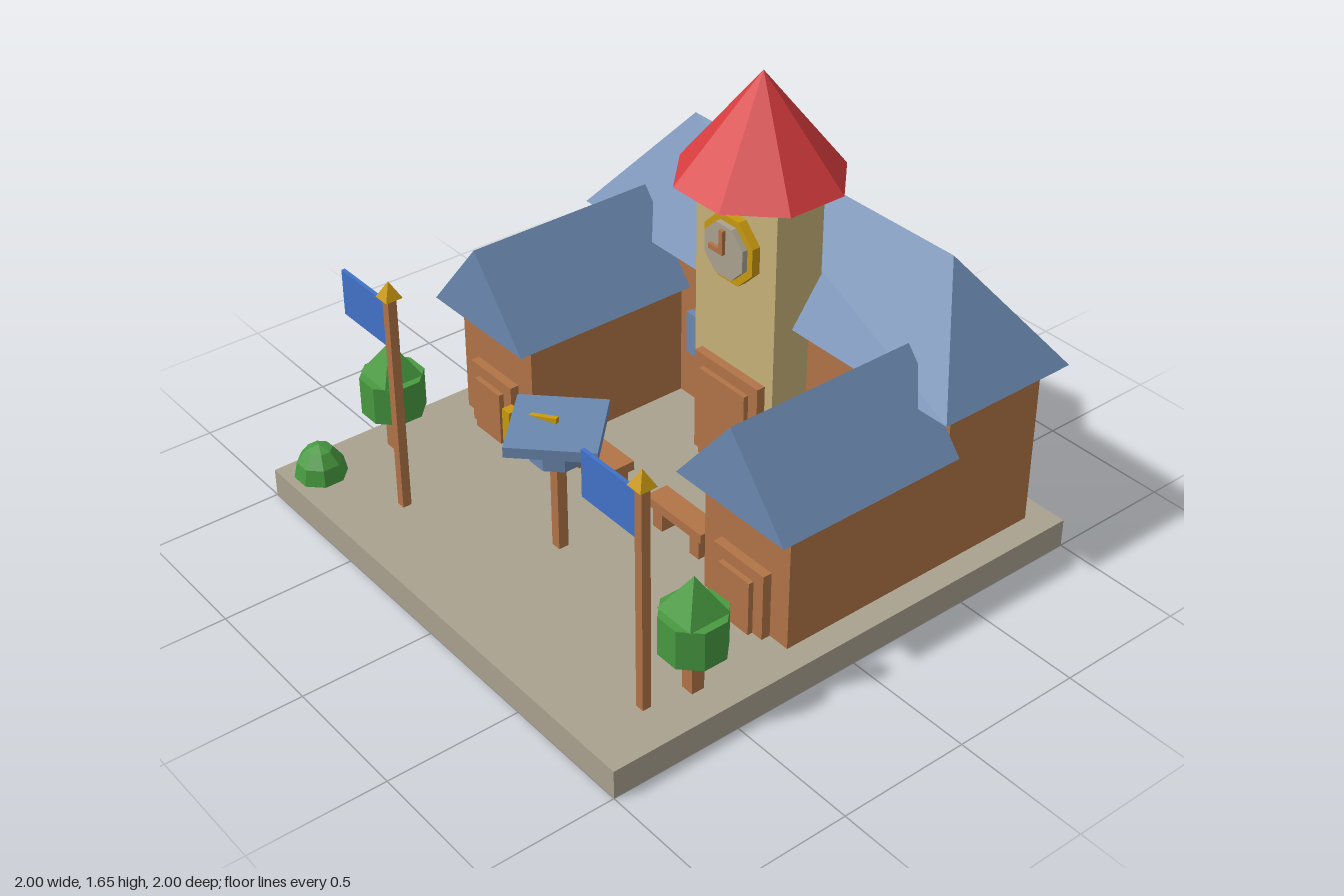
import * as THREE from 'three';
import { ConvexGeometry } from 'three/addons/geometries/ConvexGeometry.js';

const mat = (name, color, extra = {}) => {
  const m = new THREE.MeshStandardMaterial({ color, ...extra });
  m.name = name;
  return m;
};

export function createModel() {
  const stone = mat('stone', 0xaaa28f, { side: THREE.DoubleSide });
  const wood = mat('brick brown', 0xb27447);
  const slate = mat('slate blue', 0x6b88b0);
  const sand = mat('sand', 0xc8b27a);
  const red = mat('red', 0xd83c3e);
  const gold = mat('gold', 0xc8980f);
  const green = mat('green', 0x489a40);
  const flagBlue = mat('flag blue', 0x4172c8);

  const model = new THREE.Group();
  model.name = 'townHall';

  // Helpers
  const add = (name, geo, material, x = 0, y = 0, z = 0, parent = model) => {
    const mesh = new THREE.Mesh(geo, material);
    mesh.name = name;
    mesh.position.set(x, y, z);
    parent.add(mesh);
    return mesh;
  };
  const group = (name, x = 0, z = 0) => {
    const g = new THREE.Group();
    g.name = name;
    g.position.set(x, 0, z);
    model.add(g);
    return g;
  };
  const flat = (geo) => {
    const g = geo.toNonIndexed();
    g.computeVertexNormals();
    return g;
  };
  // box given by its lower and upper limits
  const box = (name, material, x0, x1, y0, y1, z0, z1, parent) =>
    add(name, new THREE.BoxGeometry(x1 - x0, y1 - y0, z1 - z0), material,
      (x0 + x1) / 2, (y0 + y1) / 2, (z0 + z1) / 2, parent);
  // regular prism or frustum with faces square to the axes; sizes are half widths across flats
  const prism = (sides, top, bottom, h) => {
    const k = 1 / Math.cos(Math.PI / sides);
    return flat(new THREE.CylinderGeometry(top * k, bottom * k, h, sides, 1, false, Math.PI / sides));
  };
  // roof from eave half sizes and ridge half lengths
  const roof = (hx, hz, rx, rz, h) => {
    const pts = [];
    for (const a of [-1, 1]) {
      for (const b of [-1, 1]) pts.push(new THREE.Vector3(a * hx, 0, b * hz));
      pts.push(new THREE.Vector3(a * rx, h, a * rz));
    }
    return new ConvexGeometry(pts);
  };
  const door = (name, x, z, w, h) => {
    const g = group(name, x, z);
    box('doorFrame', wood, -w, w, 0.11, h, 0, 0.035, g);
    box('doorPanel', wood, -w + 0.047, w - 0.047, 0.11, h - 0.047, 0.035, 0.055, g);
  };

  // Base slab, open underneath
  const slab = new THREE.BoxGeometry(2, 0.11, 2);
  const idx = Array.from(slab.index.array);
  idx.splice(18, 6);
  slab.setIndex(idx);
  slab.clearGroups();
  add('base', slab, stone, 0, 0.055, 0);

  // Main hall
  box('hallWalls', wood, -0.905, 0.905, 0.11, 0.75, -0.905, -0.48);
  add('hallRoof', roof(0.96, 0.29, 0.665, 0, 0.4), slate, 0, 0.75, -0.692);

  // Wings with gable roofs, doors and hall windows
  for (const s of [-1, 1]) {
    const c = s * 0.695;
    box('wingWalls', wood, c - 0.21, c + 0.21, 0.11, 0.59, -0.5, 0.212);
    add('wingRoof', roof(0.265, 0.385, 0, 0.385, 0.32), slate, c, 0.59, -0.092);
    door('wingDoor', c, 0.212, 0.124, 0.37);
    add('window', new THREE.BoxGeometry(0.145, 0.175, 0.03), slate, s * 0.347, 0.412, -0.467);
  }

  // Clock tower
  box('towerWalls', sand, -0.21, 0.21, 0.11, 1.26, -0.53, -0.32);
  add('towerRoof', prism(8, 0, 0.288, 0.395), red, 0, 1.4575, -0.427);
  door('mainDoor', 0, -0.32, 0.17, 0.527);
  const clock = group('clock', 0, -0.32);
  add('clockRim', prism(8, 0.126, 0.126, 0.034), gold, 0, 1.02, 0.017, clock).rotation.x = Math.PI / 2;
  add('clockFace', prism(8, 0.1, 0.1, 0.022), stone, 0, 1.02, 0.045, clock).rotation.x = Math.PI / 2;
  box('minuteHand', wood, -0.01, 0.01, 1.01, 1.105, 0.055, 0.07, clock);
  box('hourHand', wood, -0.065, -0.01, 1.01, 1.03, 0.055, 0.07, clock);

  // Benches
  for (const s of [-1, 1]) {
    const bench = group('bench', s * 0.24, 0.103);
    box('benchSeat', wood, -0.148, 0.148, 0.195, 0.232, -0.046, 0.046, bench);
    for (const t of [-1, 1])
      box('benchLeg', wood, t * 0.1 - 0.025, t * 0.1 + 0.025, 0.11, 0.195, -0.035, 0.035, bench);
  }

  // Sundial stand: post, collar, diamond plate, pointer and hanging lantern
  const dial = group('sundial', 0, 0.455);
  box('dialPost', wood, -0.02, 0.02, 0.11, 0.485, -0.02, 0.02, dial);
  add('dialCollar', prism(8, 0.09, 0.09, 0.097), slate, 0, 0.533, 0, dial);
  add('dialPlate', flat(new THREE.CylinderGeometry(0.224, 0.224, 0.04, 4)), slate, 0, 0.6, 0, dial);
  const wedge = new THREE.Shape([[0, 0], [0.11, 0], [0.11, 0.022]].map(p => new THREE.Vector2(...p)));
  const pointer = add('dialPointer', new THREE.ExtrudeGeometry(wedge, { depth: 0.018, bevelEnabled: false }),
    gold, -0.105, 0.62, 0.028, dial);
  pointer.rotation.y = 0.35;
  box('lantern', gold, -0.208, -0.167, 0.45, 0.602, 0.037, 0.078, dial);

  // Trees
  for (const s of [-1, 1]) {
    const tree = group('tree', s * 0.855, 0.567);
    box('treeTrunk', wood, -0.025, 0.025, 0.11, 0.275, -0.025, 0.025, tree);
    add('treeCrown', prism(8, 0.11, 0.11, 0.15), green, 0, 0.35, 0, tree);
    add('treeTop', prism(4, 0, 0.082, 0.135), green, 0, 0.4925, 0, tree);
  }

  // Bush: a faceted half dome
  const dome = flat(new THREE.SphereGeometry(0.097, 8, 3, Math.PI / 8, Math.PI * 2, 0, Math.PI / 2));
  add('bush', dome, green, -0.88, 0.11, 0.877).scale.y = 1.29;

  // Flagpoles
  for (const x of [-0.534, 0.826]) {
    const pole = group('flagpole', x, 0.745);
    box('pole', wood, -0.017, 0.017, 0.11, 0.97, -0.017, 0.017, pole);
    add('poleCap', prism(4, 0, 0.033, 0.062), gold, 0, 1.001, 0, pole);
    box('flag', flagBlue, -0.292, -0.017, 0.765, 0.943, -0.007, 0.007, pole);
  }

  return model;
}
